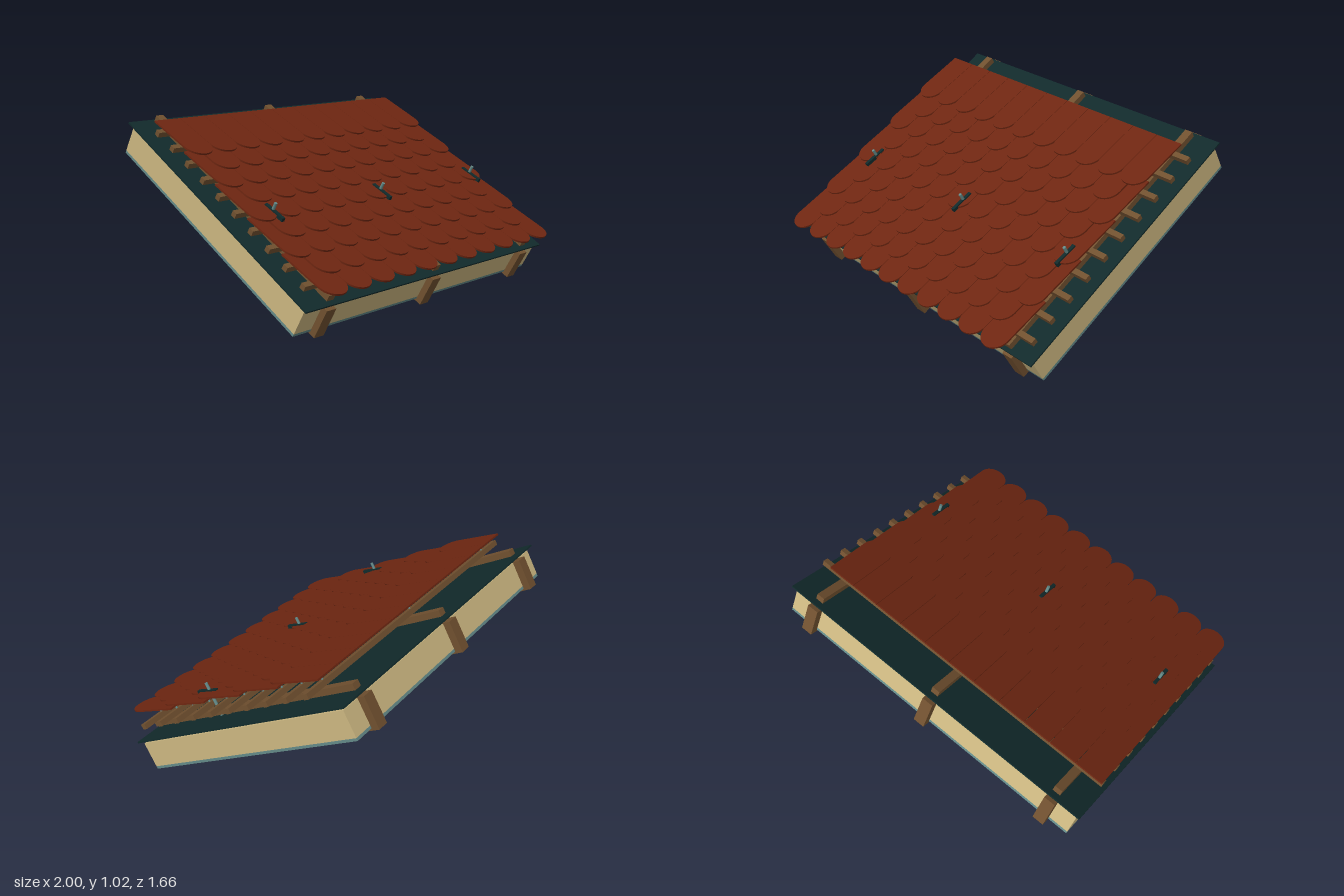
import * as THREE from 'three';

export function createModel() {
  const mat = (name, color, side = THREE.FrontSide) => {
    const m = new THREE.MeshStandardMaterial({ color, side });
    m.name = name;
    return m;
  };
  const timber = mat('timber brown', 0x70502f);
  const insulationCream = mat('insulation cream', 0xcbb680);
  const steel = mat('grey teal', 0x638987);
  const dark = mat('dark membrane', 0x112a2b);
  const clay = mat('clay red', 0x6e2611);

  // Everything is laid out flat (y = distance from roof plane, z = down the slope), then pitched
  const roof = new THREE.Group();
  roof.name = 'pitchedRoofSection';
  roof.rotation.x = Math.PI / 6;

  const add = (name, geometry, material, x, y, z, parent = roof) => {
    const mesh = new THREE.Mesh(geometry, material);
    mesh.name = name;
    mesh.position.set(x, y, z);
    parent.add(mesh);
    return mesh;
  };
  // Box given by its extents
  const slab = (name, material, x0, x1, y0, y1, z0, z1) =>
    add(name, new THREE.BoxGeometry(x1 - x0, y1 - y0, z1 - z0), material,
      (x0 + x1) / 2, (y0 + y1) / 2, (z0 + z1) / 2);

  const rafterXs = [-0.825, 0, 0.825];
  const battenStep = 0.1443;

  // Layers from the inside out
  slab('vapourBarrier', steel, -0.98, 0.98, 0.31, 0.326, -1.09, 0.475);
  slab('insulation', insulationCream, -0.98, 0.98, 0.326, 0.477, -1.09, 0.475);
  slab('roofMembrane', dark, -1, 1, 0.492, 0.501, -1.118, 0.5);

  for (const x of rafterXs) {
    slab('rafter', timber, x - 0.034, x + 0.034, 0.297, 0.48, -1.134, 0.513);
    slab('counterBatten', timber, x - 0.024, x + 0.024, 0.514, 0.55, -1.09, 0.48);
  }

  // Battens with screws over each counter batten
  const screwGeo = new THREE.CylinderGeometry(0.006, 0.006, 0.04, 8);
  for (let i = 0; i < 10; i++) {
    const z = 0.404 - i * battenStep;
    slab('batten', timber, -0.98, 0.98, 0.561, 0.592, z - 0.016, z + 0.016);
    for (const x of rafterXs) add('battenScrew', screwGeo, steel, x, 0.6, z);
  }

  // Round-ended tile, tip at the origin, running up the slope
  const r = 0.0845, length = 0.368, thickness = 0.01;
  const outline = new THREE.Shape();
  outline.moveTo(r, length);
  outline.lineTo(-r, length);
  outline.lineTo(-r, r);
  outline.absarc(0, r, r, Math.PI, Math.PI * 2, false);
  const tileGeo = new THREE.ExtrudeGeometry(outline, {
    depth: thickness, bevelEnabled: false, curveSegments: 16,
  });
  tileGeo.rotateX(-Math.PI / 2);
  tileGeo.translate(0, -thickness / 2, 0);
  tileGeo.rotateX(-0.09);

  // Staggered courses: eleven tiles, then ten shifted by half a tile
  const pitch = 0.1715;
  for (let row = 0; row < 9; row++) {
    const course = new THREE.Group();
    course.name = 'tileCourse';
    const odd = row % 2;
    for (let i = 0; i < 11 - odd; i++) {
      add('tile', tileGeo, clay, -0.98 + pitch * (i + 0.5 + odd * 0.5), 0.655,
        0.5745 - row * battenStep, course);
    }
    roof.add(course);
  }

  // Fixing rods through the tiles with dark clips
  const rodGeo = new THREE.CylinderGeometry(0.009, 0.009, 0.2, 12);
  const clipGeo = new THREE.BoxGeometry(0.02, 0.026, 0.145);
  for (const x of rafterXs) {
    add('fixingRod', rodGeo, steel, x, 0.602, -0.073);
    add('fixingClip', clipGeo, dark, x, 0.65, -0.057).rotation.x = -0.09;
  }

  const model = new THREE.Group();
  model.name = 'roofModel';
  model.add(roof);
  return model;
}
